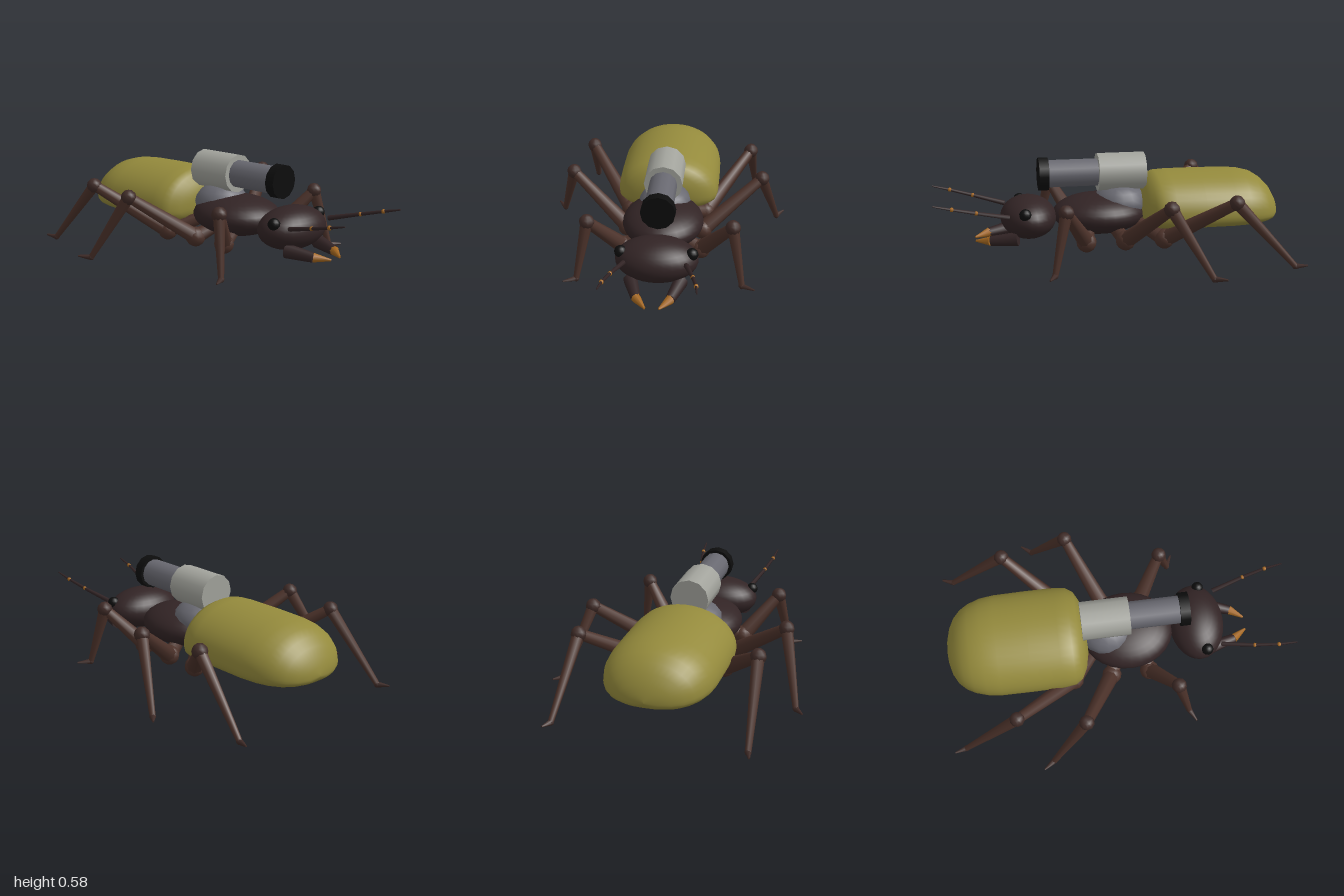
import * as THREE from 'three';

const mat = (name, color) => {
  const m = new THREE.MeshStandardMaterial({ color });
  m.name = name;
  return m;
};

export function createModel() {
  const shell = mat('dark shell', 0x322425);
  const legBrown = mat('leg brown', 0x4c322a);
  const jointBrown = mat('joint brown', 0x3f2b27);
  const olive = mat('olive abdomen', 0x948a3c);
  const lightGrey = mat('light metal', 0xa2a39c);
  const steel = mat('steel', 0x686870);
  const black = mat('black', 0x0d0d0d);
  const amber = mat('amber', 0xa4671f);

  const model = new THREE.Group();
  model.name = 'armedInsect';
  const V = (x, y, z) => new THREE.Vector3(x, y, z);

  const add = (parent, name, geometry, material) => {
    const mesh = new THREE.Mesh(geometry, material);
    mesh.name = name;
    parent.add(mesh);
    return mesh;
  };

  // Ellipsoid with centre c and radii r
  const blob = (parent, name, c, r, material, seg = 28) => {
    const mesh = add(parent, name, new THREE.SphereGeometry(1, seg, Math.ceil(seg * 0.6)), material);
    mesh.position.copy(c);
    mesh.scale.copy(r);
    return mesh;
  };
  const ball = (parent, name, c, r, material, seg = 10) =>
    blob(parent, name, c, V(r, r, r), material, seg);

  // Tapered rod from a (radius ra) to b (radius rb)
  const rod = (parent, name, a, b, ra, rb, material, sides = 8) => {
    const dir = b.clone().sub(a);
    const mesh = add(parent, name, new THREE.CylinderGeometry(rb, ra, dir.length(), sides), material);
    mesh.position.copy(a).add(b).multiplyScalar(0.5);
    mesh.quaternion.setFromUnitVectors(V(0, 1, 0), dir.normalize());
    return mesh;
  };

  // Head and thorax
  blob(model, 'thorax', V(0, 0.237, 0.065), V(0.23, 0.113, 0.265), shell);
  blob(model, 'head', V(0, 0.232, 0.47), V(0.225, 0.118, 0.157), shell);

  // Abdomen: domed cross-sections, flatter underneath
  // Each station: z, half width, top, widest height, bottom
  const stations = [
    [-0.165, 0, 0.29, 0.28, 0.27],
    [-0.172, 0.12, 0.35, 0.27, 0.215],
    [-0.19, 0.2, 0.405, 0.255, 0.185],
    [-0.22, 0.26, 0.445, 0.25, 0.17],
    [-0.26, 0.288, 0.465, 0.25, 0.163],
    [-0.33, 0.298, 0.469, 0.25, 0.16],
    [-0.5, 0.3, 0.469, 0.25, 0.16],
    [-0.68, 0.298, 0.466, 0.25, 0.16],
    [-0.76, 0.288, 0.46, 0.249, 0.162],
    [-0.83, 0.265, 0.442, 0.246, 0.166],
    [-0.88, 0.236, 0.41, 0.243, 0.172],
    [-0.92, 0.196, 0.37, 0.238, 0.18],
    [-0.95, 0.14, 0.32, 0.234, 0.191],
    [-0.967, 0.075, 0.276, 0.231, 0.205],
    [-0.974, 0, 0.235, 0.23, 0.225],
  ];
  const ring = 40;
  const pos = [];
  const idx = [];
  stations.forEach(([z, w, top, mid, bottom], i) => {
    for (let j = 0; j < ring; j++) {
      const t = (j / ring) * Math.PI * 2;
      const c = Math.cos(t);
      const s = Math.sin(t);
      const e = s < 0 ? 0.75 : 1;
      const x = w * Math.sign(c) * Math.abs(c) ** e;
      const y = mid + (s < 0 ? mid - bottom : top - mid) * Math.sign(s) * Math.abs(s) ** e;
      pos.push(x, y, z);
      if (i < stations.length - 1) {
        const a = i * ring + j;
        const b = i * ring + ((j + 1) % ring);
        idx.push(a, a + ring, b, b, a + ring, b + ring);
      }
    }
  });
  const abdomen = new THREE.BufferGeometry();
  abdomen.setAttribute('position', new THREE.Float32BufferAttribute(pos, 3));
  abdomen.setIndex(idx);
  abdomen.computeVertexNormals();
  add(model, 'abdomen', abdomen, olive);

  // Cannon on its domed mount
  const cannon = new THREE.Group();
  cannon.name = 'cannon';
  model.add(cannon);
  const cy = 0.472;
  blob(cannon, 'cannonMount', V(0, 0.295, -0.055), V(0.15, 0.11, 0.155), steel, 16);
  rod(cannon, 'cannonBreech', V(0, cy, -0.195), V(0, cy, 0.075), 0.109, 0.109, lightGrey, 12);
  rod(cannon, 'cannonBarrel', V(0, cy, 0.07), V(0, cy, 0.36), 0.079, 0.079, steel, 12);
  rod(cannon, 'cannonMuzzle', V(0, cy, 0.355), V(0, cy, 0.41), 0.095, 0.095, black, 12);

  // Leg joints on the left: coxa root, hip, knee, ankle, toe
  const legs = {
    front: [[0.1, 0.18, 0.14], [0.22, 0.125, 0.17], [0.4, 0.345, 0.305], [0.46, 0.02, 0.375], [0.53, 0.018, 0.41]],
    middle: [[0.1, 0.18, 0], [0.22, 0.125, -0.05], [0.555, 0.38, -0.23], [0.66, 0.02, -0.44], [0.705, 0.026, -0.5]],
    rear: [[0.08, 0.2, -0.13], [0.225, 0.125, -0.27], [0.487, 0.38, -0.605], [0.522, 0.02, -0.935], [0.542, 0.026, -1]],
  };

  for (const [side, label] of [[1, 'left'], [-1, 'right']]) {
    const P = (x, y, z) => V(side * x, y, z);

    for (const [which, points] of Object.entries(legs)) {
      const leg = new THREE.Group();
      leg.name = `${label} ${which} leg`;
      model.add(leg);
      const [root, hip, knee, ankle, toe] = points.map((p) => P(...p));
      rod(leg, 'coxa', root, hip, 0.035, 0.045, legBrown);
      ball(leg, 'hip', hip, 0.056, legBrown, 12);
      rod(leg, 'thigh', hip, knee, 0.047, 0.03, legBrown);
      ball(leg, 'knee', knee, 0.043, jointBrown);
      rod(leg, 'shin', knee, ankle, 0.034, 0.016, legBrown);
      ball(leg, 'ankle', ankle, 0.018, jointBrown, 8);
      rod(leg, 'foot', ankle, toe, 0.017, 0.005, jointBrown, 6);
    }

    // Eye
    ball(model, `${label} eye`, P(0.19, 0.287, 0.503), 0.034, black, 14);

    // Mandible with amber tip
    const jaw = new THREE.Group();
    jaw.name = `${label} mandible`;
    model.add(jaw);
    rod(jaw, 'mandibleBase', P(0.135, 0.14, 0.54), P(0.09, 0.122, 0.69), 0.04, 0.027, shell);
    rod(jaw, 'mandibleTip', P(0.09, 0.122, 0.69), P(0.037, 0.112, 0.768), 0.027, 0.006, amber);

    // Antenna of three segments with amber joints
    const antenna = new THREE.Group();
    antenna.name = `${label} antenna`;
    model.add(antenna);
    const feeler = [P(0.165, 0.272, 0.59), P(0.21, 0.316, 0.77), P(0.234, 0.348, 0.9), P(0.242, 0.372, 1)];
    const radii = [0.014, 0.01, 0.008, 0.004];
    for (let i = 0; i < 3; i++) {
      rod(antenna, 'antennaSegment', feeler[i], feeler[i + 1], radii[i], radii[i + 1], shell, 6);
      if (i) ball(antenna, 'antennaJoint', feeler[i], 0.0125, amber, 8);
    }
  }

  return model;
}
